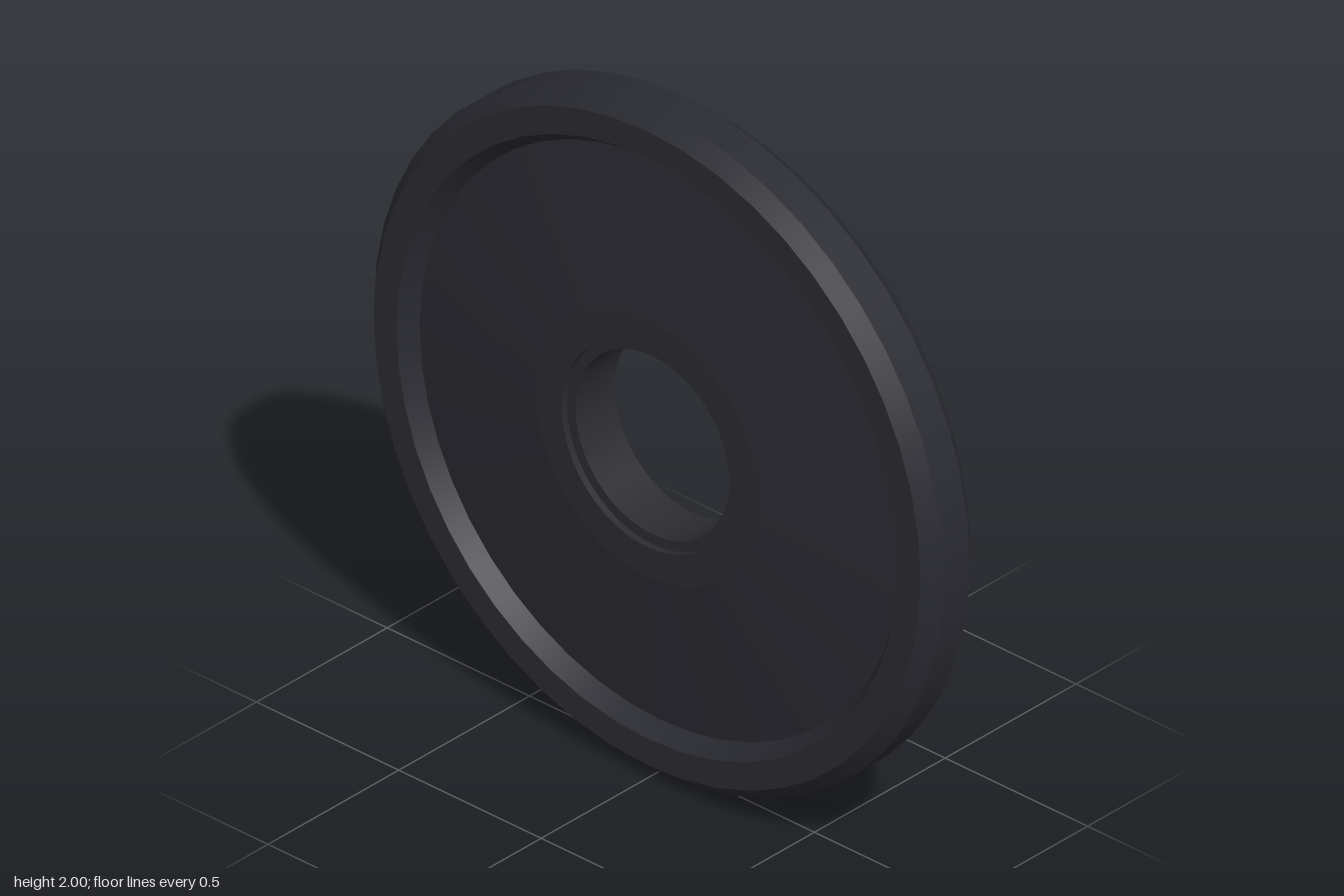
import * as THREE from 'three';
import { mergeGeometries } from 'three/addons/utils/BufferGeometryUtils.js';

const SEGMENTS = 48;

// Revolves each span of a [radius, x] profile separately: round around the axle, sharp between spans.
function revolve(profile) {
  const bands = [];
  for (let i = 0; i < profile.length - 1; i++) {
    const span = [profile[i], profile[i + 1]].map(([r, x]) => new THREE.Vector2(r, x));
    bands.push(new THREE.LatheGeometry(span, SEGMENTS));
  }
  return mergeGeometries(bands).rotateZ(-Math.PI / 2);
}

// Completes a half profile (from the middle plane outward on +x) with its mirror image.
function mirrored(half) {
  return [...half.map(([r, x]) => [r, -x]).reverse(), ...half];
}

export function createModel() {
  const group = new THREE.Group();
  group.name = 'weightPlate';

  const rubber = new THREE.MeshStandardMaterial({ color: 0x2a2a32 });
  rubber.name = 'dark rubber';
  const metal = new THREE.MeshStandardMaterial({ color: 0x2c2c30 });
  metal.name = 'dark metal';

  const add = (name, geometry, material) => {
    const mesh = new THREE.Mesh(geometry, material);
    mesh.name = name;
    group.add(mesh);
  };

  // Chamfered rim with sloped inner lip
  add('rim', revolve(mirrored([[1, 0.05], [0.96, 0.095], [0.88, 0.095], [0.845, 0.045]])), rubber);

  for (const side of [1, -1]) {
    // Shallow dished web and flat hub ring, on both faces
    const web = [[0.845, 0.045 * side], [0.39, 0.095 * side]];
    const hub = [[0.39, 0.095 * side], [0.3, 0.095 * side], [0.3, 0.075 * side], [0.27, 0.075 * side]];
    const label = side > 0 ? 'left' : 'right';
    add(label + 'Web', revolve(side > 0 ? web : web.reverse()), rubber);
    add(label + 'HubRing', revolve(side > 0 ? hub : hub.reverse()), metal);
  }

  // Inner wall of the centre hole
  add('bore', revolve([[0.27, 0.075], [0.27, -0.075]]), metal);

  group.position.y = 1;
  const model = new THREE.Group();
  model.name = 'model';
  model.add(group);
  return model;
}
